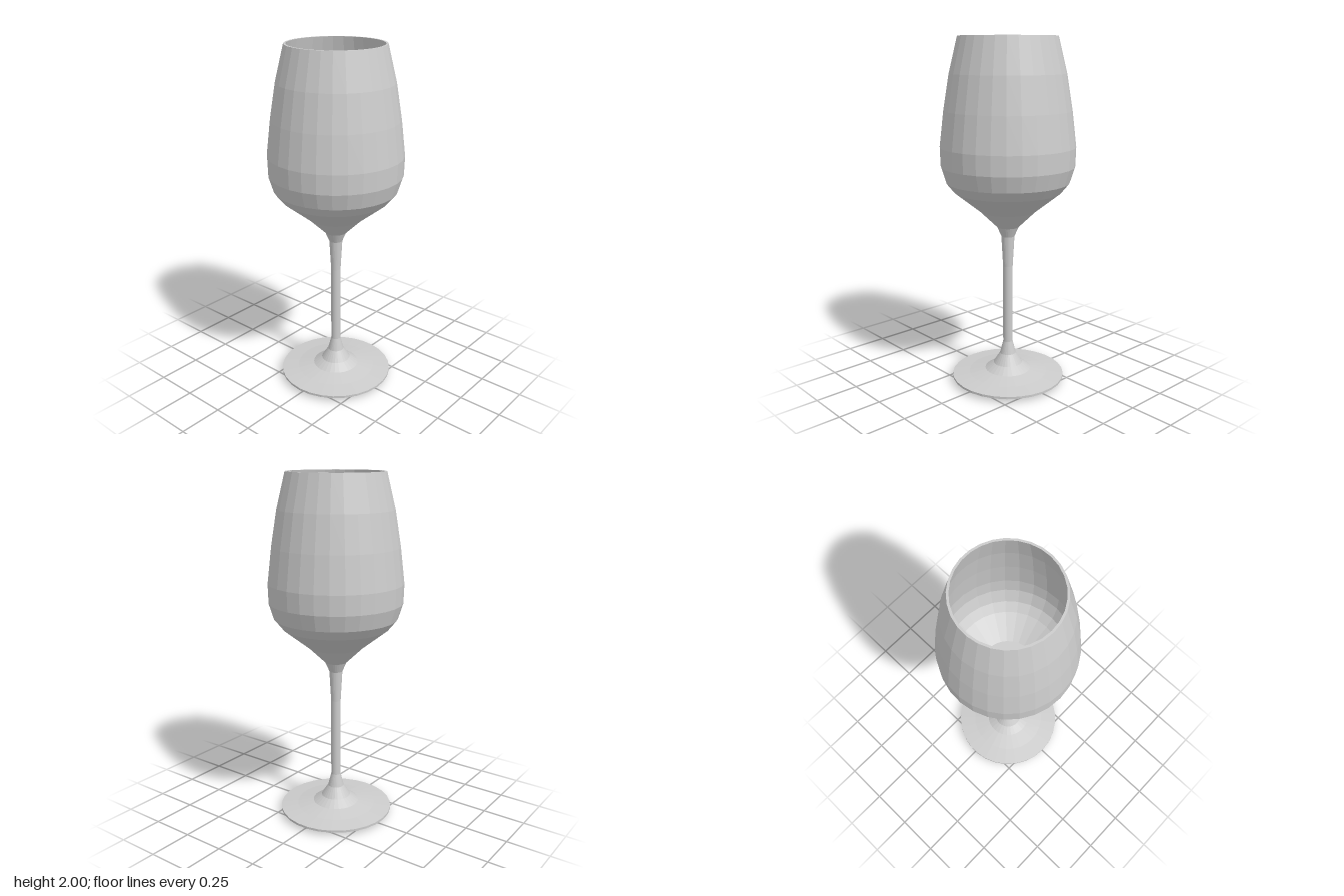
import * as THREE from 'three';

const SIDES = 29;

export function createModel() {
  const group = new THREE.Group();
  group.name = 'wineGlass';
  const material = new THREE.MeshStandardMaterial({ color: 0xcccccc, flatShading: true, side: THREE.DoubleSide });

  // Turns a [radius, height] profile around the y axis
  const turn = (name, profile) => {
    const points = profile.map(([r, y]) => new THREE.Vector2(r, y));
    const mesh = new THREE.Mesh(new THREE.LatheGeometry(points, SIDES), material);
    mesh.name = name;
    group.add(mesh);
  };

  // Flat base disc flaring up into the stem
  turn('foot', [
    [0, 0], [0.2, 0.007], [0.29, 0.012], [0.33, 0.022], [0.33, 0.035],
    [0.23, 0.047], [0.135, 0.065], [0.085, 0.1], [0.047, 0.16], [0.028, 0.235],
  ]);

  // Slender stem, widening toward the bowl
  turn('stem', [
    [0.028, 0.235], [0.028, 0.7], [0.038, 0.88], [0.062, 0.935],
  ]);

  // Bowl: outer wall up to the rim, then inner wall down to a flat floor
  turn('bowl', [
    [0.062, 0.935], [0.16, 1.03], [0.305, 1.145], [0.35, 1.2], [0.378, 1.29],
    [0.381, 1.4], [0.357, 1.6], [0.324, 1.8], [0.275, 2],
    [0.263, 2], [0.312, 1.8], [0.345, 1.6], [0.369, 1.4], [0.366, 1.295],
    [0.338, 1.207], [0.296, 1.156], [0.16, 1.05], [0, 1.05],
  ]);

  return group;
}
